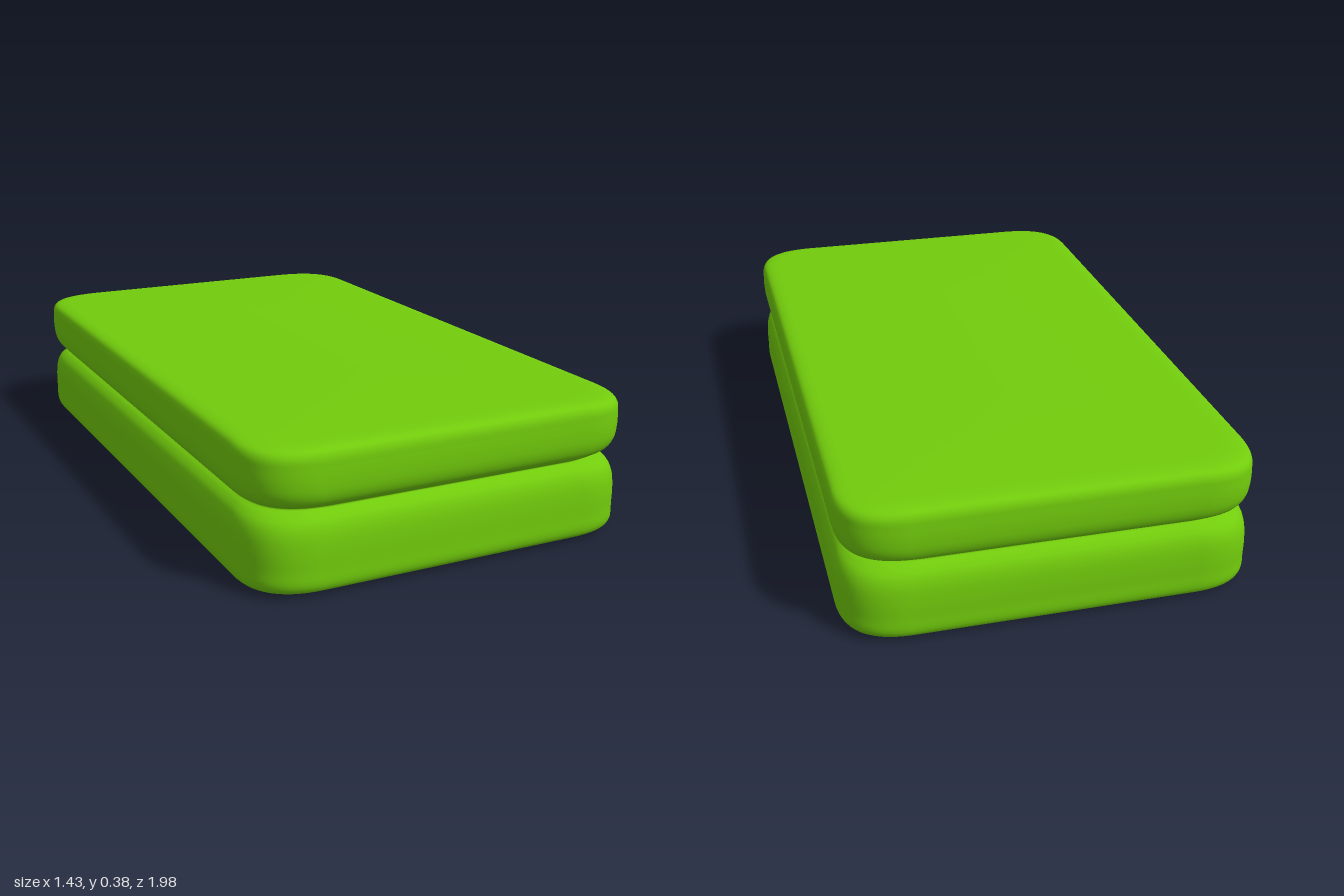
import * as THREE from 'three';

const HALF_W = 0.541, HALF_L = 0.92, CORNER = 0.165;

// Rounded rectangle outline, drawn inwards by an inset, running from +x to +z
function outline(inset) {
  const w = HALF_W - inset, l = HALF_L - inset;
  const c = Math.min(CORNER, w * 0.98);
  const points = [];
  const corners = [[1, 1], [-1, 1], [-1, -1], [1, -1]];
  corners.forEach(([sx, sz], k) => {
    const alongX = new THREE.Vector2(sx * (w - c), sz * l);
    const alongZ = new THREE.Vector2(sx * w, sz * (l - c));
    const tip = new THREE.Vector2(sx * w, sz * l);
    const [from, to] = k % 2 === 0 ? [alongZ, alongX] : [alongX, alongZ];
    // Soft corner: the handles reach a little over half way to the tip
    const curve = new THREE.CubicBezierCurve(
      from, from.clone().lerp(tip, 0.68), to.clone().lerp(tip, 0.68), to);
    points.push(...curve.getPoints(14));
  });
  return points;
}

// Side profile as (inset, height): flat base, lower slab, groove, upper slab, flat top
function profile() {
  const side = new THREE.CatmullRomCurve3([
    [0.07, 0.003], [0.03, 0.006], [0.01, 0.014], [0.001, 0.032], [0, 0.07], [0, 0.12],
    [0.004, 0.16], [0.013, 0.185], [0.028, 0.201], [0.043, 0.211],
    [0.03, 0.22], [0.014, 0.234], [0.004, 0.257], [0, 0.29], [0, 0.325],
    [0.002, 0.35], [0.01, 0.364], [0.03, 0.372], [0.07, 0.375],
  ].map(([inset, y]) => new THREE.Vector3(inset, y, 0)), false, 'centripetal');
  const rows = side.getPoints(72).map(p => [p.x, p.y]);
  return [[HALF_W, 0], [0.3, 0.0005], [0.15, 0.0015], ...rows,
    [0.15, 0.3765], [0.3, 0.3775], [HALF_W, 0.378]];
}

// Skin the stacked outlines into one smooth closed surface
function slabGeometry() {
  const rows = profile();
  const positions = [], index = [];
  let n = 0;
  for (const [inset, y] of rows) {
    const ring = outline(inset);
    n = ring.length;
    for (const p of ring) positions.push(p.x, y, p.y);
  }
  for (let i = 0; i < rows.length - 1; i++) {
    for (let j = 0; j < n; j++) {
      const k = (j + 1) % n;
      const a = i * n + j, b = a + n, c = i * n + k, d = c + n;
      index.push(a, b, c, b, d, c);
    }
  }
  const geometry = new THREE.BufferGeometry();
  geometry.setAttribute('position', new THREE.Float32BufferAttribute(positions, 3));
  geometry.setIndex(index);
  geometry.computeVertexNormals();
  return geometry;
}

export function createModel() {
  const group = new THREE.Group();
  group.name = 'groovedBlock';
  const green = new THREE.MeshStandardMaterial({ color: 0x72cc0c });
  const slab = new THREE.Mesh(slabGeometry(), green);
  slab.name = 'doubleSlab';
  slab.rotation.y = THREE.MathUtils.degToRad(-13.7);
  group.add(slab);
  return group;
}
